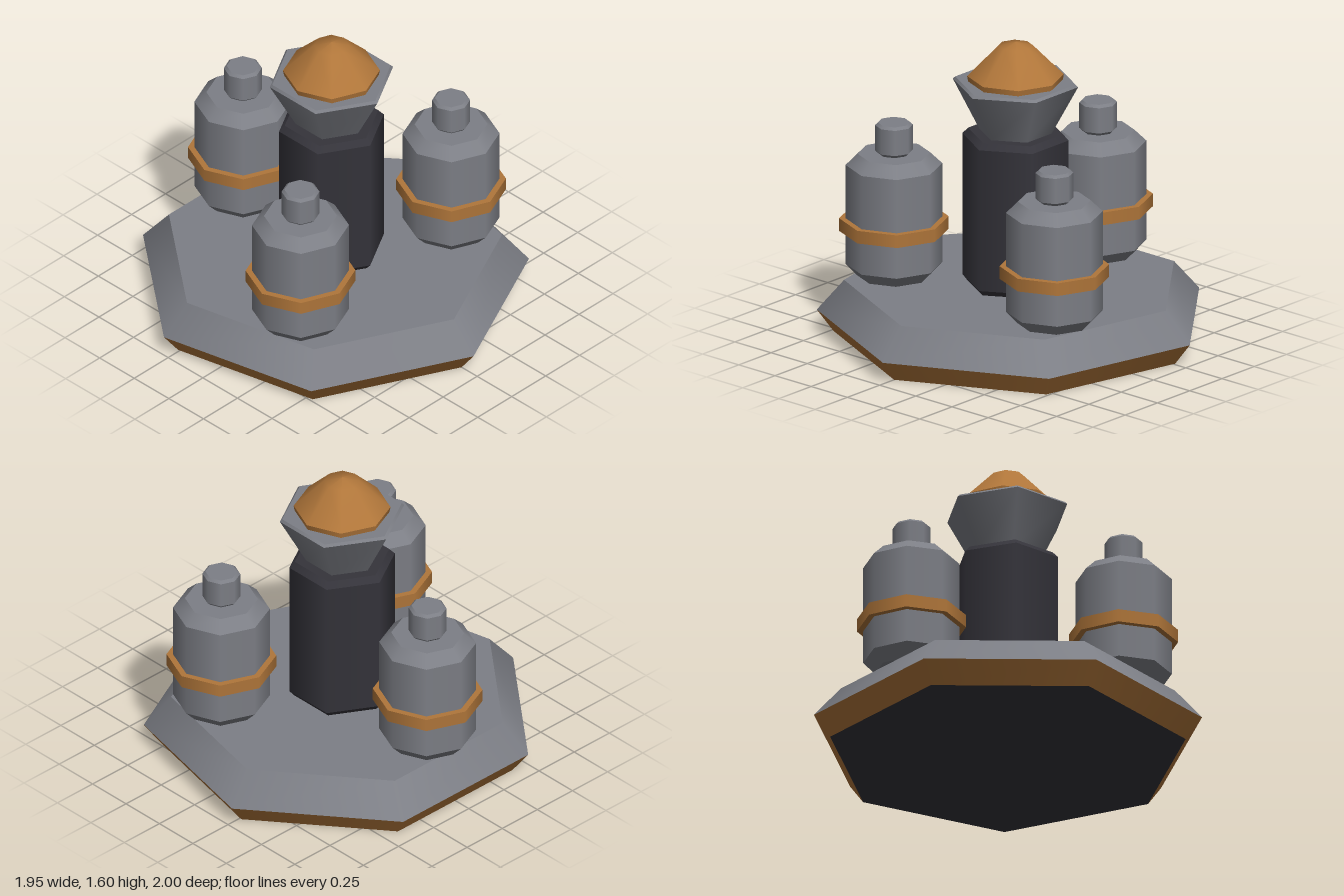
import * as THREE from 'three';

const mat = (name, color) => {
  const m = new THREE.MeshStandardMaterial({ color });
  m.name = name;
  return m;
};

export function createModel() {
  const grey = mat('grey metal', 0x7d7f86);
  const copper = mat('copper', 0xb0763a);
  const dark = mat('dark metal', 0x35343b);

  // Stack of tapered prism bands from [radius, y] rings, bottom up, a corner pointing to +x.
  // Only the end bands are capped.
  function stack(name, rings, sides, material, bottomMaterial = material) {
    const group = new THREE.Group();
    group.name = name;
    const last = rings.length - 2;
    for (let i = 0; i <= last; i++) {
      const [r0, y0] = rings[i];
      const [r1, y1] = rings[i + 1];
      const open = i > 0 && i < last;
      const geo = new THREE.CylinderGeometry(r1, r0, y1 - y0, sides, 1, open, Math.PI / 2);
      geo.translate(0, (y0 + y1) / 2, 0);
      const mesh = new THREE.Mesh(geo, [material, material, bottomMaterial]);
      mesh.name = `${name}Band${i + 1}`;
      group.add(mesh);
    }
    return group;
  }

  const model = new THREE.Group();
  model.name = 'tower';
  const body = new THREE.Group();
  body.name = 'body';
  body.position.x = -0.052;
  model.add(body);

  // Seven-sided base: copper foot with a dark underside, grey sloping deck
  body.add(stack('baseFoot', [[0.94, 0], [1.026, 0.115]], 7, copper, dark));
  body.add(stack('baseDeck', [[1.026, 0.115], [0.885, 0.28]], 7, grey));

  // Six-sided column and flared bowl
  body.add(stack('column', [[0.255, 0.28], [0.28, 0.31], [0.28, 1.08], [0.25, 1.112]], 6, dark));
  body.add(stack('bowl', [[0.19, 1.11], [0.33, 1.375], [0.317, 1.388]], 6, grey));

  // Faceted cap on the bowl
  body.add(stack('capRim', [[0.244, 1.385], [0.25, 1.418]], 8, copper));
  const profile = [[0.25, 1.418], [0.09, 1.58], [0, 1.6]].map(p => new THREE.Vector2(...p));
  const cap = new THREE.Mesh(new THREE.LatheGeometry(profile, 8), copper);
  cap.name = 'cap';
  body.add(cap);

  // Three tanks around the column, each with a neck and a copper band
  [60, 180, 300].forEach((deg, i) => {
    const a = THREE.MathUtils.degToRad(deg);
    const tank = new THREE.Group();
    tank.name = `tank${i + 1}`;
    tank.position.set(0.64 * Math.cos(a), 0, 0.64 * Math.sin(a));
    tank.add(
      stack('tankBody', [[0.19, 0.28], [0.25, 0.345], [0.25, 0.885], [0.188, 0.945]], 8, grey),
      stack('tankNeck', [[0.08, 0.945], [0.098, 0.962], [0.098, 1.1], [0.083, 1.114]], 8, grey),
      stack('tankBand', [[0.283, 0.525], [0.283, 0.594]], 8, copper)
    );
    body.add(tank);
  });

  return model;
}
